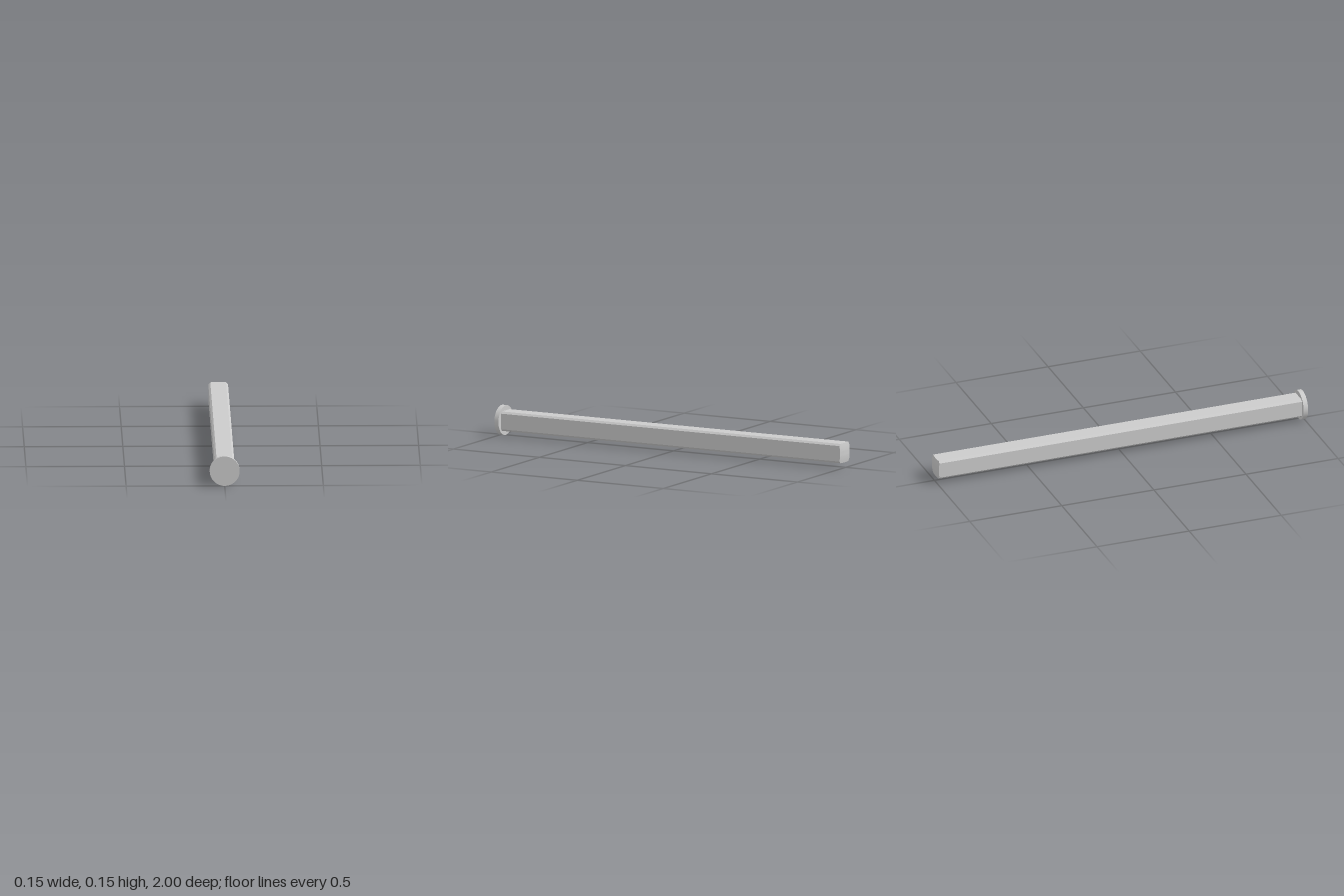
import * as THREE from 'three';
import { toCreasedNormals } from 'three/addons/utils/BufferGeometryUtils.js';

const AXIS_Y = 0.076;   // height of the pin's axis
const HEAD_R = 0.076, HEAD_T = 0.024;
const HALF = 0.05, INNER = 0.04;  // half width of the bar, and where its chamfers start
const DOME_R = 0.25;    // radius of the slightly domed tip

// Chamfered square, counterclockwise, each edge subdivided
function barOutline(steps) {
  const corners = [];
  for (let q = 0; q < 4; q++) {
    for (const y of [-INNER, INNER]) {
      corners.push(new THREE.Vector2(HALF, y).rotateAround(new THREE.Vector2(), q * Math.PI / 2));
    }
  }
  return corners.flatMap((c, i) =>
    Array.from({ length: steps }, (_, k) => c.clone().lerp(corners[(i + 1) % 8], k / steps)));
}

// Loft from the centre of the domed tip out to its rim, then along the sides to the head
function barGeometry() {
  const outline = barOutline(8), n = outline.length, capRings = 6;
  const positions = [], index = [];
  for (let r = 0; r <= capRings + 1; r++) {
    const s = Math.min(r / capRings, 1);
    for (const p of outline) {
      const d = p.length() * s;
      const tipZ = -1 + DOME_R - Math.sqrt(DOME_R * DOME_R - d * d);
      positions.push(p.x * s, p.y * s, r > capRings ? 1 - HEAD_T / 2 : tipZ);
    }
  }
  for (let r = 0; r <= capRings; r++) {
    for (let i = 0; i < n; i++) {
      const a = r * n + i, b = r * n + (i + 1) % n;
      if (r > 0) index.push(a, b, a + n);
      index.push(b, b + n, a + n);
    }
  }
  const geometry = new THREE.BufferGeometry();
  geometry.setAttribute('position', new THREE.Float32BufferAttribute(positions, 3));
  geometry.setIndex(index);
  return toCreasedNormals(geometry, 0.5);
}

export function createModel() {
  const group = new THREE.Group();
  group.name = 'squarePin';
  const material = new THREE.MeshStandardMaterial({ color: 0xcccccc });

  // Long square shank
  const shank = new THREE.Mesh(barGeometry(), material);
  shank.name = 'shank';
  shank.position.y = AXIS_Y;

  // Round flat head at the front
  const head = new THREE.Mesh(
    new THREE.CylinderGeometry(HEAD_R, HEAD_R, HEAD_T, 96).rotateX(Math.PI / 2), material);
  head.name = 'head';
  head.position.set(0, AXIS_Y, 1 - HEAD_T / 2);

  group.add(shank, head);
  return group;
}
